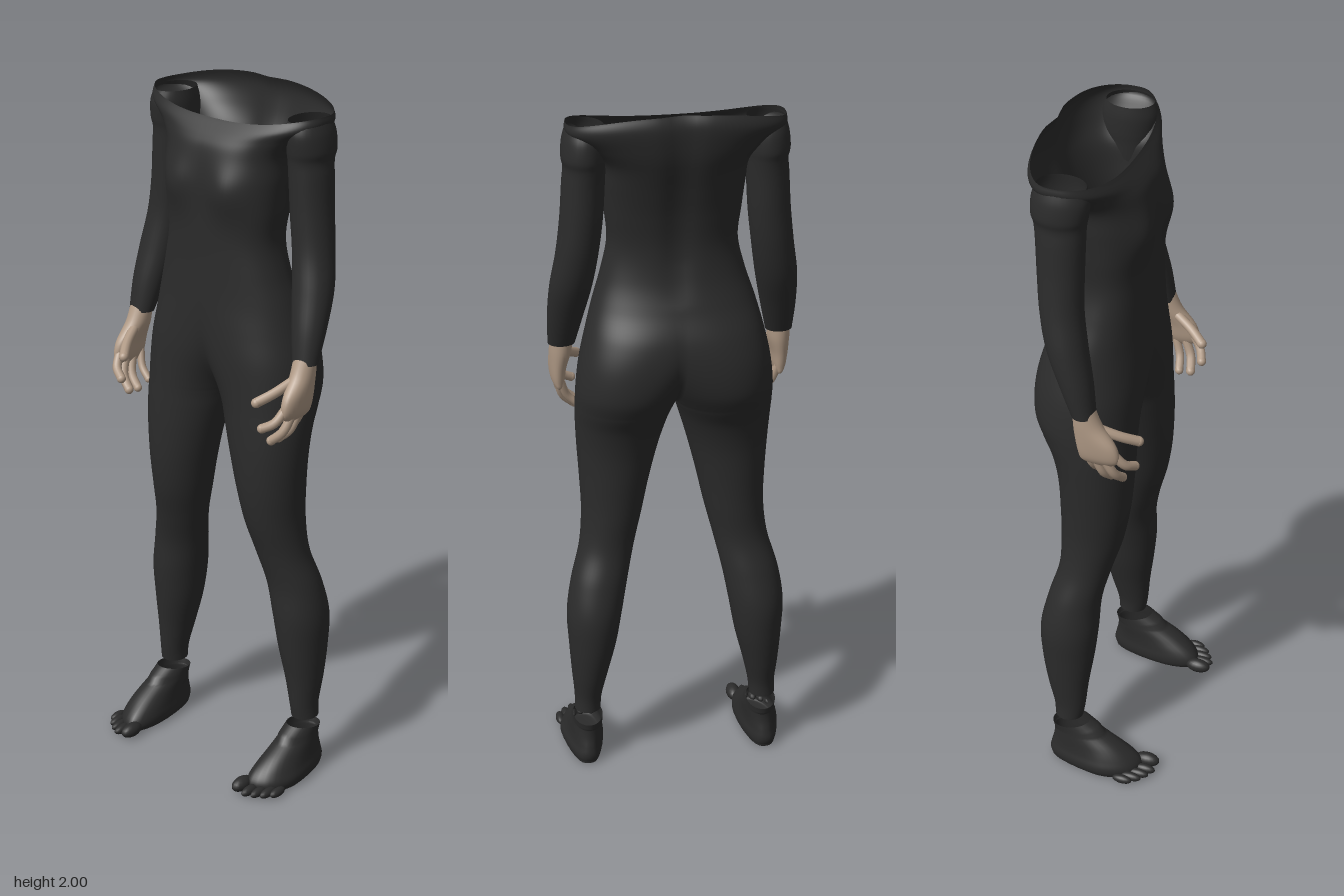
import * as THREE from 'three';
import { mergeGeometries, mergeVertices } from 'three/addons/utils/BufferGeometryUtils.js';

const gauss = (d, w) => Math.exp(-(d * d) / (w * w));
const spow = (v, p) => Math.sign(v) * Math.abs(v) ** p;

// Smooth value between stations k and k + 1
function spline(rows, k, t, c) {
  const at = i => rows[Math.min(Math.max(i, 0), rows.length - 1)][c];
  const [p0, p1, p2, p3] = [at(k - 1), at(k), at(k + 1), at(k + 2)];
  const m1 = (p2 - p0) / 2, m2 = (p3 - p1) / 2;
  return p1 + t * (m1 + t * (3 * (p2 - p1) - 2 * m1 - m2 + t * (2 * (p1 - p2) + m1 + m2)));
}

// Loft of horizontal sections, bottom to top: [y, xInner, xOuter, zBack, zFront, roundness].
// A section that crosses x = 0 is cut there, so its mirror image closes it.
function loft(rows, rule = null, cols = 40, steps = 7) {
  const pos = [], index = [];
  const count = (rows.length - 1) * steps;
  for (let j = 0; j <= count; j++) {
    const k = Math.min(Math.floor(j / steps), rows.length - 2);
    const t = j / steps - k;
    const [y, xi, xo, zb, zf, n] = [0, 1, 2, 3, 4, 5].map(c => spline(rows, k, t, c));
    const rx = (xo - xi) / 2, cx = (xo + xi) / 2;
    const cut = Math.min(Math.max(cx / rx, 0), 1);
    const start = Math.acos(-(cut ** (n / 2)));
    for (let i = 0; i <= cols; i++) {
      const a = start * (1 - 2 * i / cols);
      const s = spow(Math.sin(a), 2 / n);
      const v = new THREE.Vector3(cx + rx * spow(Math.cos(a), 2 / n), y, (zb + zf) / 2 + (zf - zb) / 2 * s);
      if (v.x < 1e-4) v.x = 0;
      if (rule) rule(v, s);
      pos.push(v.x, v.y, v.z);
      if (i < cols && j < count) {
        const p = j * (cols + 1) + i, q = p + cols + 1;
        index.push(p, p + 1, q, p + 1, q + 1, q);
      }
    }
  }
  const g = new THREE.BufferGeometry();
  g.setAttribute('position', new THREE.Float32BufferAttribute(pos, 3));
  g.setIndex(index);
  return g;
}

// Keeps positions only, welds and smooths
function smooth(g) {
  g.deleteAttribute('uv');
  g.deleteAttribute('normal');
  const w = mergeVertices(g, 1e-4);
  w.computeVertexNormals();
  return w;
}

function mirrored(g) {
  const m = g.clone().scale(-1, 1, 1);
  const ix = m.index;
  for (let i = 0; i < ix.count; i += 3) {
    const b = ix.getX(i + 1);
    ix.setX(i + 1, ix.getX(i + 2));
    ix.setX(i + 2, b);
  }
  return m;
}

function ellipsoid(x, y, z, rx, ry, rz) {
  return smooth(new THREE.SphereGeometry(1, 16, 12).scale(rx, ry, rz).translate(x, y, z));
}

function finger(points, r) {
  const pts = points.map(p => new THREE.Vector3(...p));
  const tube = smooth(new THREE.TubeGeometry(new THREE.CatmullRomCurve3(pts), 10, r, 10));
  const tip = pts[pts.length - 1];
  return mergeGeometries([tube, ellipsoid(tip.x, tip.y, tip.z, r, r, r)]);
}

export function createModel() {
  const model = new THREE.Group();
  const suit = new THREE.MeshStandardMaterial({ color: 0x2b2b2b, side: THREE.DoubleSide });
  suit.name = 'darkSuit';
  const skin = new THREE.MeshStandardMaterial({ color: 0xb09a86, side: THREE.DoubleSide });
  skin.name = 'skin';

  const add = (name, geometry, material) => {
    const mesh = new THREE.Mesh(geometry, material);
    mesh.name = name;
    model.add(mesh);
  };
  const addPair = (name, geometry, material) => {
    add('left' + name, geometry, material);
    add('right' + name, mirrored(geometry), material);
  };

  // Legs, hips, torso and open shoulder yoke, one half
  const half = loft([
    [0.175, 0.222, 0.298, -0.108, -0.025, 2],
    [0.22, 0.218, 0.297, -0.112, -0.018, 2],
    [0.30, 0.200, 0.304, -0.132, -0.010, 2],
    [0.40, 0.175, 0.311, -0.150, 0.004, 2],
    [0.50, 0.157, 0.315, -0.155, 0.014, 2],
    [0.60, 0.138, 0.300, -0.136, 0.018, 2],
    [0.70, 0.115, 0.272, -0.111, 0.040, 2],
    [0.80, 0.090, 0.262, -0.110, 0.068, 2],
    [0.90, 0.068, 0.265, -0.114, 0.084, 2],
    [1.00, 0.043, 0.271, -0.122, 0.090, 2],
    [1.08, 0.020, 0.275, -0.142, 0.091, 2],
    [1.14, 0.000, 0.276, -0.172, 0.091, 2],
    [1.20, -0.030, 0.274, -0.196, 0.092, 2.1],
    [1.28, -0.085, 0.264, -0.201, 0.095, 2.2],
    [1.36, -0.150, 0.246, -0.189, 0.096, 2.2],
    [1.44, -0.205, 0.224, -0.158, 0.096, 2.2],
    [1.52, -0.198, 0.198, -0.133, 0.095, 2.3],
    [1.61, -0.178, 0.178, -0.125, 0.095, 2.4],
    [1.70, -0.185, 0.185, -0.138, 0.096, 2.5],
    [1.78, -0.192, 0.192, -0.160, 0.096, 2.5],
    [1.85, -0.200, 0.200, -0.183, 0.088, 2.5],
    [1.90, -0.240, 0.240, -0.198, 0.072, 2.5],
    [1.94, -0.290, 0.290, -0.203, 0.056, 2.5],
    [1.968, -0.292, 0.292, -0.192, 0.040, 2.5],
  ], (v, s) => {
    // Bust, spine groove, and a neckline low in front and high behind
    if (s > 0) v.z += 0.022 * s * gauss(v.x - 0.095, 0.065) * gauss(v.y - 1.755, 0.07);
    else if (v.y > 1.45) v.z += 0.012 * gauss(v.x, 0.04) * Math.min(1, (v.y - 1.45) * 8);
    const top = THREE.MathUtils.smoothstep(v.y, 1.86, 1.968);
    v.y -= 0.034 * s ** 3 * top;
  }, 48);
  add('bodysuit', smooth(mergeGeometries([half, mirrored(half)])), suit);

  // Sleeves
  addPair('Sleeve', smooth(loft([
    [1.31, 0.267, 0.342, -0.024, 0.042, 2],
    [1.40, 0.246, 0.345, -0.062, 0.030, 2],
    [1.50, 0.224, 0.340, -0.102, 0.010, 2],
    [1.60, 0.208, 0.324, -0.124, -0.006, 2],
    [1.70, 0.196, 0.312, -0.134, -0.008, 2],
    [1.80, 0.190, 0.305, -0.140, -0.006, 2],
    [1.845, 0.188, 0.301, -0.145, -0.004, 2],
    [1.875, 0.186, 0.306, -0.152, 0.002, 2],
    [1.92, 0.186, 0.302, -0.150, 0.006, 2],
    [1.955, 0.190, 0.292, -0.138, -0.004, 2],
  ], null, 28)), suit);

  // Hands: palm, four curled fingers and thumb
  const palm = smooth(loft([
    [1.158, 0.310, 0.312, 0.040, 0.060, 2],
    [1.168, 0.302, 0.322, 0.005, 0.098, 2.2],
    [1.19, 0.294, 0.332, -0.004, 0.112, 2.3],
    [1.23, 0.288, 0.337, -0.012, 0.102, 2.2],
    [1.28, 0.276, 0.338, -0.020, 0.062, 2],
    [1.33, 0.273, 0.337, -0.020, 0.038, 2],
  ], null, 24, 5));
  addPair('Hand', mergeGeometries([
    palm,
    finger([[0.312, 1.205, 0.092], [0.296, 1.165, 0.122], [0.264, 1.145, 0.138]], 0.013),
    finger([[0.314, 1.190, 0.066], [0.300, 1.132, 0.092], [0.268, 1.100, 0.104]], 0.013),
    finger([[0.312, 1.185, 0.040], [0.298, 1.128, 0.060], [0.266, 1.096, 0.070]], 0.012),
    finger([[0.307, 1.190, 0.014], [0.290, 1.142, 0.026], [0.262, 1.112, 0.030]], 0.011),
    finger([[0.300, 1.270, 0.040], [0.276, 1.240, 0.100], [0.248, 1.217, 0.143]], 0.014),
  ]), skin);

  // Feet: narrow heel, slanted front edge, open ankle
  const foot = smooth(loft([
    [0.004, 0.262, 0.264, 0.010, 0.012, 2],
    [0.005, 0.215, 0.315, -0.105, 0.135, 2.5],
    [0.015, 0.203, 0.327, -0.120, 0.155, 2.5],
    [0.035, 0.200, 0.330, -0.125, 0.155, 2.5],
    [0.06, 0.204, 0.322, -0.121, 0.135, 2.4],
    [0.09, 0.210, 0.312, -0.114, 0.094, 2.2],
    [0.12, 0.214, 0.304, -0.113, 0.042, 2],
    [0.148, 0.216, 0.302, -0.118, -0.004, 2],
  ], (v, s) => {
    const heel = THREE.MathUtils.smoothstep(v.z, -0.12, 0.08);
    const low = 1 - THREE.MathUtils.smoothstep(v.y, 0.05, 0.12);
    v.x = 0.262 + (v.x - 0.262) * (1 - 0.28 * (1 - heel) * low);
    if (v.z > 0) v.z -= (v.x - 0.25) * 2.6 * v.z * low;
    if (v.y > 0.12) v.y += 0.01 * s;
  }, 32, 5));
  const toes = [
    [0.222, 0.165, 0.021, 0.038], [0.255, 0.168, 0.014, 0.034], [0.279, 0.157, 0.013, 0.033],
    [0.301, 0.142, 0.013, 0.032], [0.320, 0.122, 0.013, 0.030],
  ].map(([x, z, r, len]) => ellipsoid(x, r + 0.006, z, r, r, len));
  addPair('Foot', mergeGeometries([foot, ...toes]), suit);

  // Stand on the ground and centre front to back
  const box = new THREE.Box3().setFromObject(model);
  for (const part of model.children) part.geometry.translate(0, -box.min.y, -(box.min.z + box.max.z) / 2);
  return model;
}
